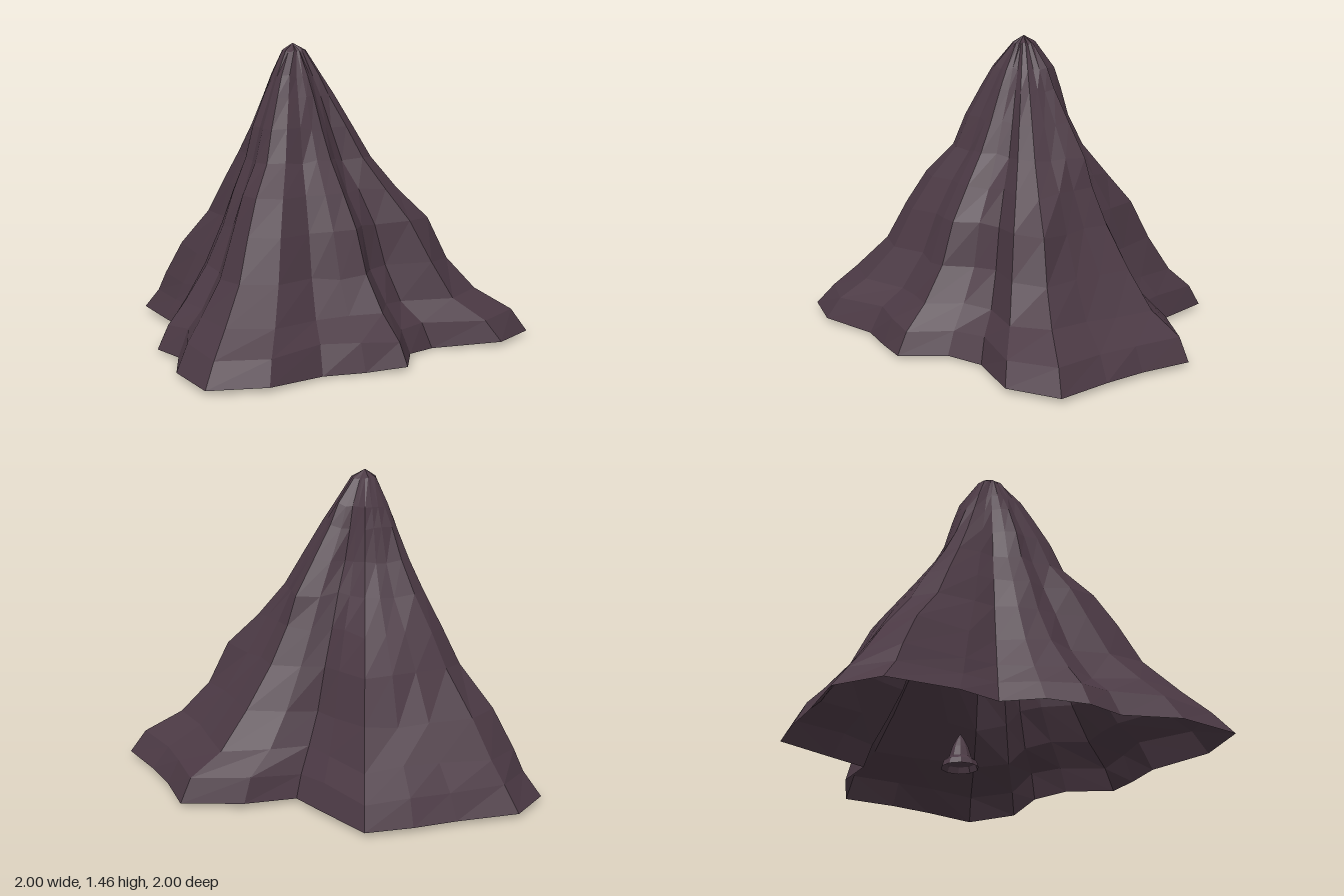
import * as THREE from 'three';

// Foot outline of the mountain as [x, z], one point per radial spur line
const FOOT = [
  [1, -0.065], [0.85, 0.16], [0.51, 0.23], [0.40, 0.375], [0.38, 0.61], [0.19, 0.67], [0, 0.73],
  [-0.22, 0.945], [-0.49, 1], [-0.65, 0.73], [-0.68, 0.455], [-0.80, 0.305], [-0.80, 0.12],
  [-0.75, -0.07], [-0.855, -0.24], [-1, -0.55], [-0.88, -0.76], [-0.60, -0.855], [-0.41, -0.935],
  [-0.20, -1], [0, -0.775], [0.12, -0.63], [0.35, -0.72], [0.64, -0.72], [0.74, -0.48], [0.845, -0.295],
];
// Slope as [height, then the share of the foot radius along the main spurs]
const SPURS = [0, 8, 11, 15, 19, 23, 26];
const SLOPE = [
  [0.02, 1, 1, 1, 1, 1, 1],
  [0.13, 0.925, 0.925, 0.91, 0.91, 0.935, 0.94],
  [0.23, 0.78, 0.80, 0.79, 0.84, 0.81, 0.80],
  [0.39, 0.665, 0.655, 0.64, 0.73, 0.70, 0.65],
  [0.59, 0.575, 0.56, 0.51, 0.54, 0.6, 0.52],
  [0.75, 0.46, 0.46, 0.42, 0.45, 0.46, 0.445],
  [0.9, 0.345, 0.34, 0.335, 0.34, 0.325, 0.395],
  [1.05, 0.26, 0.275, 0.275, 0.26, 0.24, 0.295],
  [1.2, 0.18, 0.2, 0.2, 0.18, 0.195, 0.2],
  [1.3, 0.13, 0.145, 0.14, 0.13, 0.16, 0.155],
  [1.415, 0.06, 0.06, 0.065, 0.065, 0.065, 0.065],
];
const PEAK = [-0.17, 1.455, -0.06];

function seeded(seed) {
  return () => {
    seed = (seed * 16807) % 2147483647;
    return seed / 2147483647 - 0.5;
  };
}

// Share of the foot radius for spur line i, blended between the main spurs
function shareAt(shares, i) {
  const s = SPURS.findIndex((end) => i < end) - 1;
  const t = (i - SPURS[s]) / (SPURS[s + 1] - SPURS[s]);
  return THREE.MathUtils.lerp(shares[s], shares[(s + 1) % shares.length], t);
}

// Closed rings of points joined upward and capped by a single tip
function ringSurface(rings, tip) {
  const n = rings[0].length;
  const index = [];
  const last = rings.length - 1;
  for (let j = 0; j <= last; j++) {
    for (let i = 0; i < n; i++) {
      const a = j * n + i, b = j * n + (i + 1) % n;
      if (j === last) index.push(a, n * rings.length, b);
      else index.push(a, a + n, b, b, a + n, b + n);
    }
  }
  const geometry = new THREE.BufferGeometry();
  geometry.setAttribute('position', new THREE.Float32BufferAttribute([...rings.flat(), tip].flat(), 3));
  geometry.setIndex(index);
  geometry.computeVertexNormals();
  return geometry;
}

export function createModel() {
  const group = new THREE.Group();
  group.name = 'mountain';
  const rock = new THREE.MeshStandardMaterial({ color: 0x4b3944, flatShading: true, side: THREE.DoubleSide });
  rock.name = 'dusky rock';
  const random = seeded(421);

  // Hollow rocky shell: spurs soften toward the peak, with slight roughness
  const rings = SLOPE.map(([y, ...shares], row) => FOOT.map(([fx, fz], i) => {
    const dx = fx - PEAK[0], dz = fz - PEAK[2];
    const radius = Math.hypot(dx, dz);
    const soften = 1 + (0.95 / radius - 1) * 0.4 * (y / 1.45) ** 1.5;
    const rough = row === 0 ? 1 : 1 + random() * 0.03;
    const k = shareAt(shares, i) * soften * rough;
    const lift = row === 0 ? (radius < 0.85 ? random() * 0.03 : 0) : random() * 0.02;
    return [PEAK[0] + dx * k, y + lift, PEAK[2] + dz * k];
  }));
  const shell = new THREE.Mesh(ringSurface(rings, PEAK), rock);
  shell.name = 'rockyShell';
  group.add(shell);

  // Small stepped spire standing inside the hollow
  const steps = [[0.09, 0], [0.08, 0.03], [0.055, 0.05], [0.04, 0.1], [0.02, 0.14]];
  const spireRings = steps.map(([r, y]) => Array.from({ length: 10 }, (_, i) => {
    const a = i / 10 * Math.PI * 2;
    return [r * Math.cos(a), y, r * Math.sin(a)];
  }));
  const spire = new THREE.Mesh(ringSurface(spireRings, [0, 0.17, 0]), rock);
  spire.name = 'innerSpire';
  spire.position.set(0.04, 0, -0.18);
  group.add(spire);

  return group;
}
